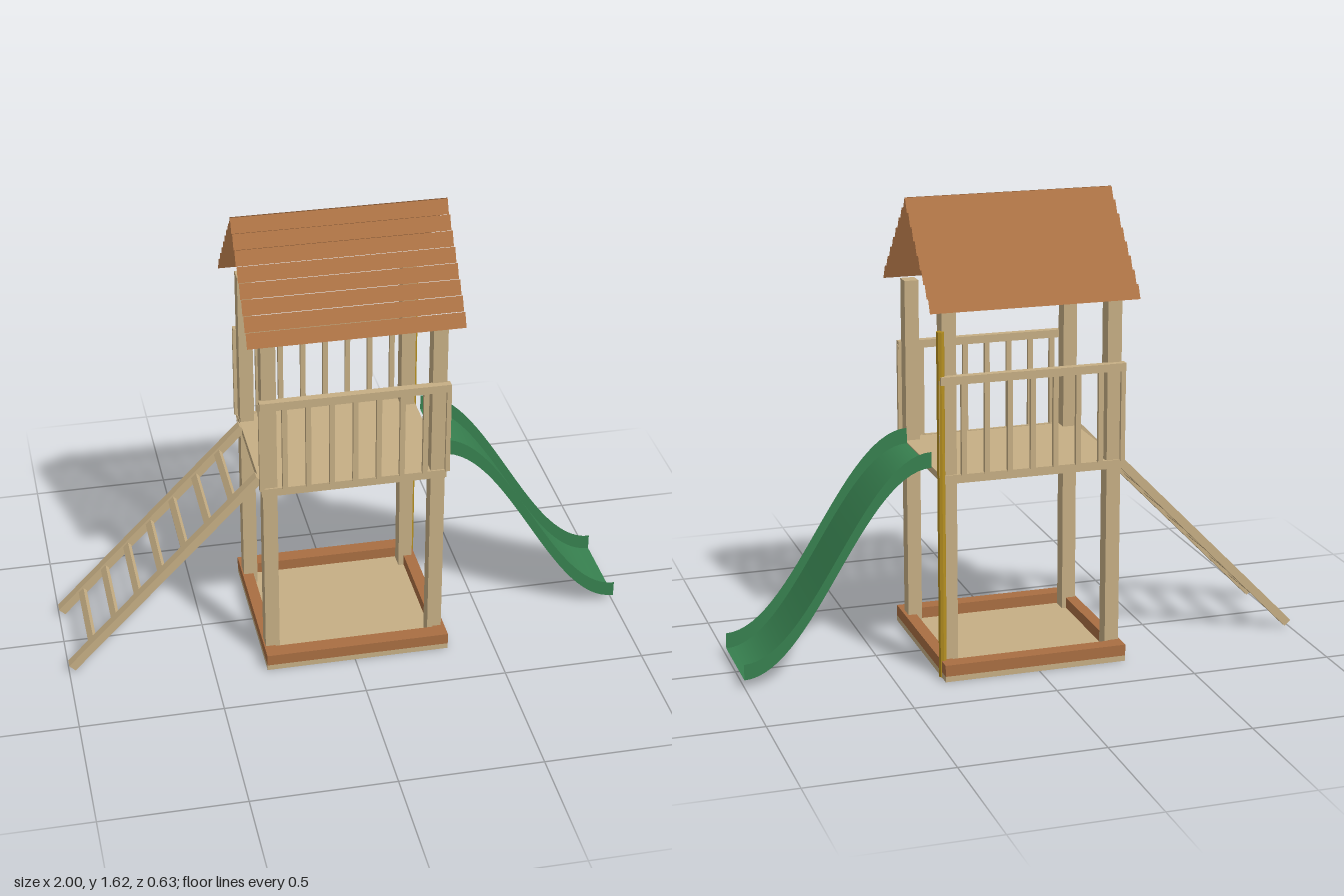
import * as THREE from 'three';

const wood = new THREE.MeshStandardMaterial({ name: 'paleWood', color: 0xc6ae84 });
const brown = new THREE.MeshStandardMaterial({ name: 'brownWood', color: 0xa96e42 });
const roofBrown = new THREE.MeshStandardMaterial({ name: 'roofBrown', color: 0xb07546, side: THREE.DoubleSide });
const green = new THREE.MeshStandardMaterial({ name: 'slideGreen', color: 0x37804f, side: THREE.DoubleSide });
const gold = new THREE.MeshStandardMaterial({ name: 'poleGold', color: 0xb48e20, flatShading: true });

// Box given by its min and max on each axis
function box(parent, name, mat, x0, x1, y0, y1, z0, z1) {
  const m = new THREE.Mesh(new THREE.BoxGeometry(x1 - x0, y1 - y0, z1 - z0), mat);
  m.position.set((x0 + x1) / 2, (y0 + y1) / 2, (z0 + z1) / 2);
  m.name = name;
  parent.add(m);
  return m;
}

// Thin sheet whose points come from point(u, v), with u and v in 0..1
function sheet(parent, name, mat, steps, point) {
  const g = new THREE.PlaneGeometry(1, 1, steps, 1);
  const p = g.attributes.position;
  for (let i = 0; i < p.count; i++) p.setXYZ(i, ...point(p.getX(i) + 0.5, p.getY(i) + 0.5));
  g.computeVertexNormals();
  const m = new THREE.Mesh(g, mat);
  m.name = name;
  parent.add(m);
}

function group(parent, name) {
  const g = new THREE.Group();
  g.name = name;
  parent.add(g);
  return g;
}

export function createModel() {
  const model = new THREE.Group();
  model.name = 'playTower';

  // Sandbox: floor and four border boards
  const sandbox = group(model, 'sandbox');
  box(sandbox, 'sandboxFloor', wood, -0.315, 0.337, 0, 0.02, -0.315, 0.315);
  for (const s of [-1, 1]) {
    const z = s * 0.2875;
    box(sandbox, 'longBoard', brown, -0.315, 0.337, 0.02, 0.06, z - 0.0275, z + 0.0275);
  }
  box(sandbox, 'leftBoard', brown, 0.295, 0.337, 0.02, 0.06, -0.26, 0.26);
  box(sandbox, 'rightBoard', brown, -0.315, -0.275, 0.02, 0.06, -0.26, 0.26);

  // Corner posts
  for (const x of [-0.285, 0.3])
    for (const z of [-0.2275, 0.2275])
      box(model, 'post', wood, x - 0.025, x + 0.025, 0.02, 1.29, z - 0.0275, z + 0.0275);

  box(model, 'platform', wood, -0.312, 0.328, 0.69, 0.715, -0.25, 0.25);

  // Railings on the front and back
  for (const s of [-1, 1]) {
    const railing = group(model, s > 0 ? 'frontRailing' : 'backRailing');
    const bar = (name, x0, x1, y0, y1, a, b) =>
      box(railing, name, wood, x0, x1, y0, y1, Math.min(s * a, s * b), Math.max(s * a, s * b));
    bar('topRail', -0.32, 0.335, 1.035, 1.063, 0.25, 0.277);
    bar('bottomRail', -0.315, 0.33, 0.688, 0.718, 0.25, 0.26);
    for (let i = 0; i < 7; i++) {
      const x = -0.234 + i * 0.081;
      bar('baluster', x - 0.009, x + 0.009, 0.715, 1.045, 0.252, 0.267);
    }
    bar('endBaluster', -0.322, -0.306, 0.715, 1.05, 0.252, 0.267);
    bar('endBaluster', 0.323, 0.339, 0.715, 1.05, 0.252, 0.267);
  }

  // Pole beside the slide
  const pole = new THREE.Mesh(new THREE.CylinderGeometry(0.014, 0.014, 1.215, 8), gold);
  pole.position.set(0.33, 0.6075, -0.256);
  pole.name = 'pole';
  model.add(pole);

  // Roof: overlapping steep slats on both slopes
  const roof = group(model, 'roof');
  for (const s of [-1, 1])
    for (let i = 0; i < 8; i++) {
      const z = 0.003 + i * 0.0385, y = 1.62 - i * 0.041;
      sheet(roof, 'roofSlat', roofBrown, 1, (u, v) =>
        [-0.36 + 0.735 * u, y - 0.048 * v, s * (z + 0.022 * v)]);
    }

  // Ladder: two stringers and seven rungs along a slanted line
  const ladder = group(model, 'ladder');
  const from = new THREE.Vector2(-0.989, 0.018), to = new THREE.Vector2(-0.31, 0.715);
  const tilt = Math.atan2(to.y - from.y, to.x - from.x), half = from.distanceTo(to) / 2;
  ladder.position.set((from.x + to.x) / 2, (from.y + to.y) / 2, 0);
  ladder.rotation.z = tilt;
  for (const z of [-0.1725, 0.1725])
    box(ladder, 'stringer', wood, -half, half, -0.015, 0.015, z - 0.0175, z + 0.0175);
  for (let i = 0; i < 7; i++) {
    const x = (-0.91 + i * 0.085 - ladder.position.x) / Math.cos(tilt);
    box(ladder, 'rung', wood, x - 0.013, x + 0.013, -0.008, 0.008, -0.18, 0.18);
  }

  // Slide: S-curved floor with a thin wall on each side
  const slide = group(model, 'slide');
  const slideX = u => 0.335 + 0.665 * u;
  const slideY = u => 0.028 + 0.345 * (1 + Math.cos(Math.PI * u));
  sheet(slide, 'slideFloor', green, 28, (u, v) => [slideX(u), slideY(u), 0.158 - 0.313 * v]);
  for (const z of [-0.155, 0.158])
    sheet(slide, 'slideWall', green, 28, (u, v) => [slideX(u), slideY(u) + 0.056 * v, z]);

  return model;
}
